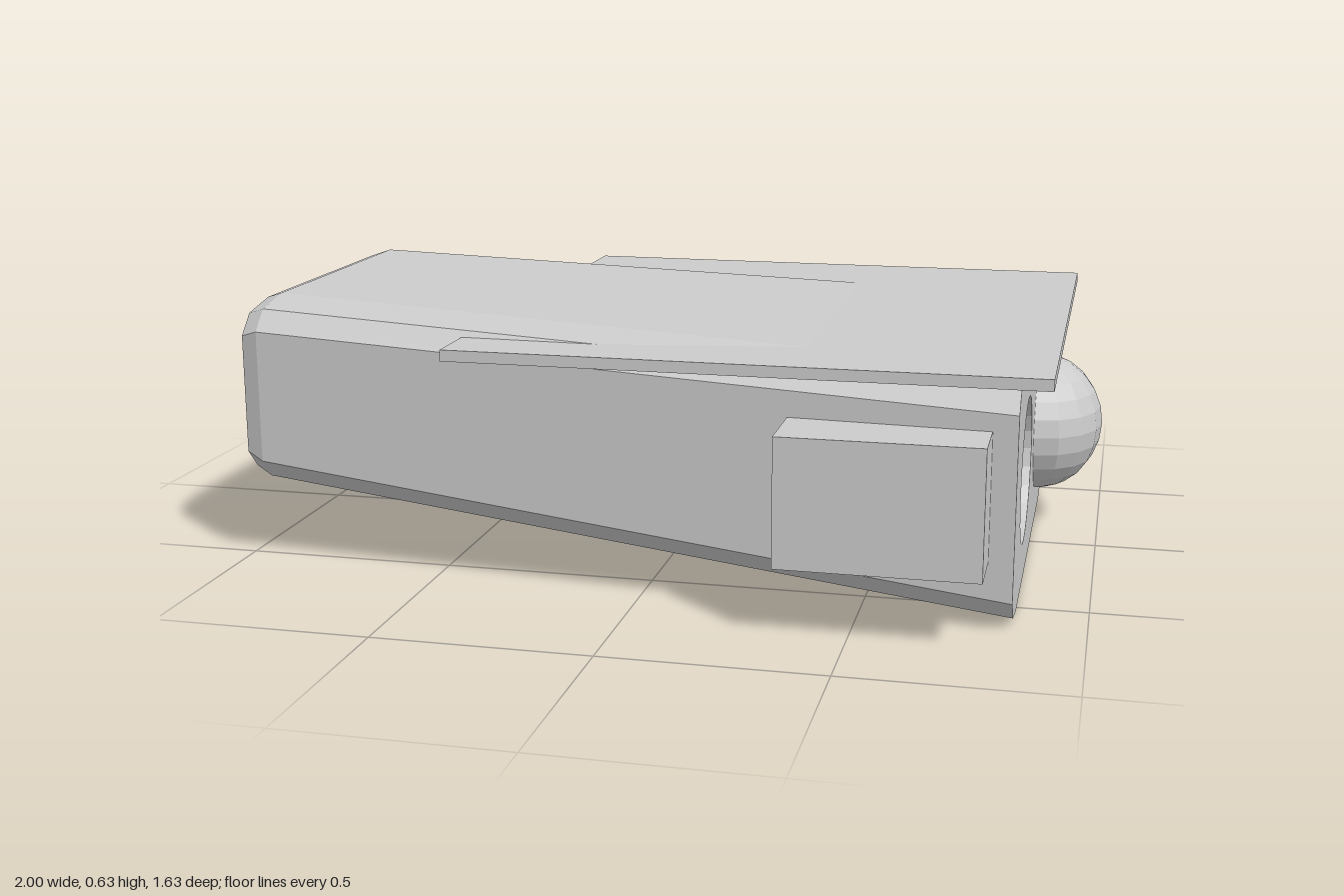
import * as THREE from 'three';

const FRONT_X = 0.84;

// Chamfered outline, counterclockwise, as [-z, y] pairs
function outline(zLo, zHi, yLo, yHi) {
  const corner = [[0.15, 0], [0.045, 0.02], [0, 0.067]]; // flat end -> wall end
  const back = [...corner].reverse();
  const l = -zHi, r = -zLo;
  return [
    ...corner.map(([u, v]) => [r - u, yLo + v]),
    ...back.map(([u, v]) => [r - u, yHi - v]),
    ...corner.map(([u, v]) => [l + u, yHi - v]),
    ...back.map(([u, v]) => [l + u, yLo + v]),
  ];
}

// Skin through the sections from rear to nose, closed at the rear
function loft(sections) {
  const pos = [], idx = [];
  const n = sections[0].pts.length;
  sections.forEach(({ x, pts }) => pts.forEach(([u, y]) => pos.push(x, y, -u)));
  for (let s = 0; s < sections.length - 1; s++) {
    for (let i = 0; i < n; i++) {
      const j = (i + 1) % n;
      const a = s * n + i, a2 = s * n + j, b = a + n, b2 = a2 + n;
      idx.push(a, a2, b, a2, b2, b);
    }
  }
  for (let i = 1; i < n - 1; i++) idx.push(0, i + 1, i);
  const g = new THREE.BufferGeometry();
  g.setAttribute('position', new THREE.Float32BufferAttribute(pos, 3));
  g.setIndex(idx);
  const flat = g.toNonIndexed();
  flat.computeVertexNormals();
  return flat;
}

export function createModel() {
  const group = new THREE.Group();
  const grey = new THREE.MeshStandardMaterial({ color: 0xcccccc, flatShading: true });
  const greyDouble = grey.clone();
  greyDouble.side = THREE.DoubleSide;

  const add = (name, geometry, material = grey) => {
    const mesh = new THREE.Mesh(geometry, material);
    mesh.name = name;
    group.add(mesh);
    return mesh;
  };
  const box = (name, x0, x1, y0, y1, z0, z1) =>
    add(name, new THREE.BoxGeometry(x1 - x0, y1 - y0, z1 - z0))
      .position.set((x0 + x1) / 2, (y0 + y1) / 2, (z0 + z1) / 2);

  // Sloping, tapered housing with a rounded rear
  const nose = outline(-0.54, 0.675, 0.003, 0.553);
  add('housing', loft([
    { x: -1, pts: outline(-0.375, 0.505, 0.225, 0.59) },
    { x: -0.985, pts: outline(-0.41, 0.54, 0.2, 0.615) },
    { x: -0.94, pts: outline(-0.432, 0.56, 0.183, 0.63) },
    { x: FRONT_X, pts: nose },
  ]));

  // Nose panel with an oval opening for the dish
  const lens = { y: 0.27, rx: 0.16, ry: 0.17, rz: 0.2, dishZ: 0.305, bulbZ: -0.185 };
  const panel = new THREE.Shape(nose.map(([u, y]) => new THREE.Vector2(u, y)));
  const hole = [];
  for (let i = 0; i < 24; i++) {
    const t = (i / 24) * Math.PI * 2;
    hole.push(new THREE.Vector2(-lens.dishZ + lens.rz * Math.cos(t), lens.y + lens.ry * Math.sin(t)));
  }
  panel.holes.push(new THREE.Path(hole));
  const panelGeometry = new THREE.ShapeGeometry(panel);
  panelGeometry.rotateY(Math.PI / 2);
  add('nosePanel', panelGeometry).position.x = FRONT_X;

  // Hollow dish sunk into the nose, and a domed lens beside it
  const dish = add('hollowDish',
    new THREE.SphereGeometry(1, 8, 12, -Math.PI / 2, Math.PI), greyDouble);
  dish.position.set(FRONT_X, lens.y, lens.dishZ);
  const bulb = add('domedLens', new THREE.SphereGeometry(1, 16, 12));
  bulb.position.set(FRONT_X, lens.y, lens.bulbZ);
  for (const m of [dish, bulb]) m.scale.set(lens.rx, lens.ry, lens.rz);

  // Thin roof plate and the two side pods
  box('roofPlate', -0.43, 0.91, 0.548, 0.574, -0.65, 0.705);
  box('sidePodFront', 0.34, 0.785, 0.158, 0.448, 0.55, 0.815);
  box('sidePodBack', 0.355, 0.81, 0.17, 0.465, -0.815, -0.45);

  return group;
}
